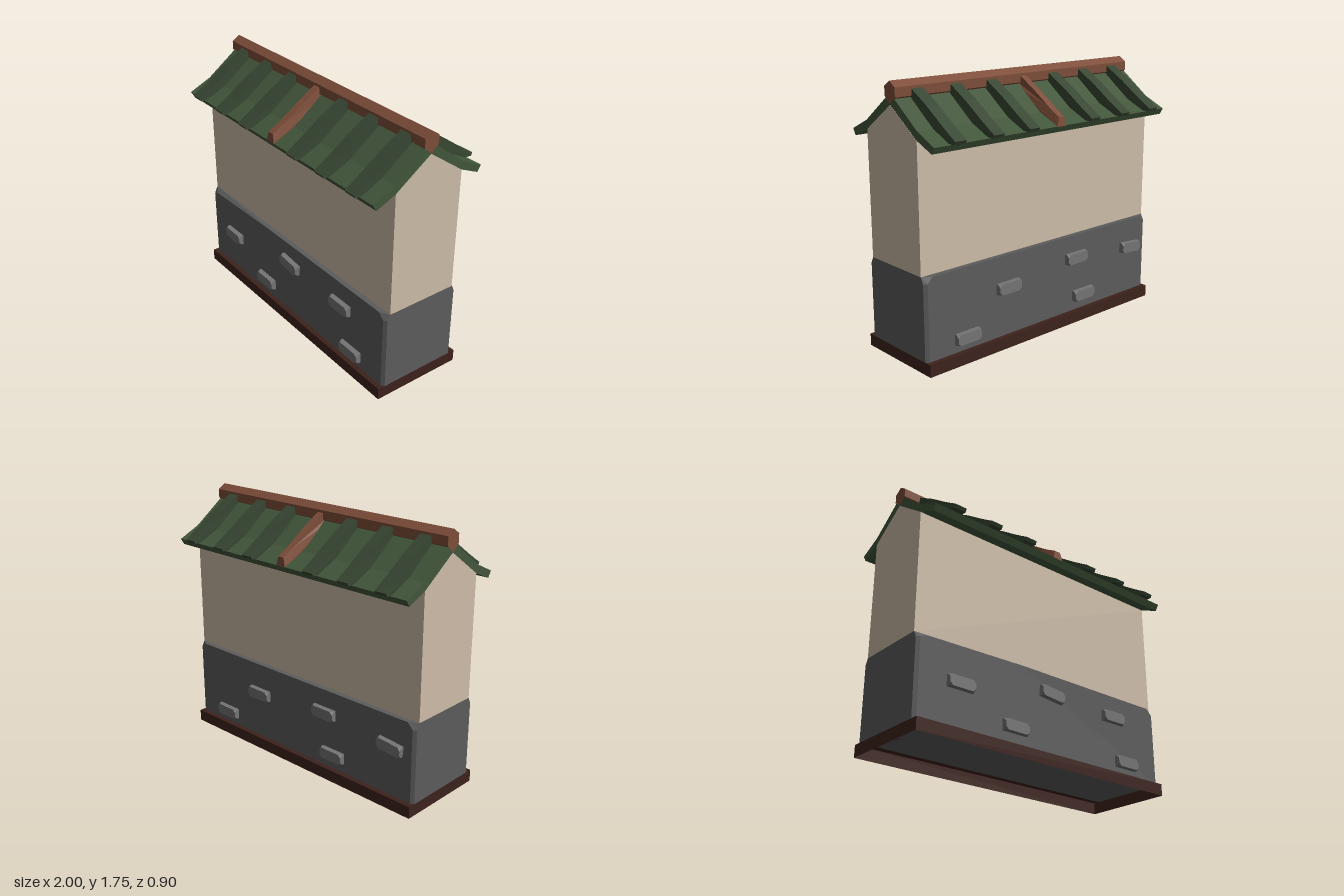
import * as THREE from 'three';
import { ConvexGeometry } from 'three/addons/geometries/ConvexGeometry.js';

const paint = (color, extra = {}) => new THREE.MeshStandardMaterial({ color, flatShading: true, ...extra });
const V = (x, y, z) => new THREE.Vector3(x, y, z);

// Extrude a [z, y] outline along x, centred on x = 0
function extrudeX(points, width) {
  const shape = new THREE.Shape(points.map(([z, y]) => new THREE.Vector2(z, y)));
  const geo = new THREE.ExtrudeGeometry(shape, { depth: width, bevelEnabled: false });
  return geo.translate(0, 0, -width / 2).rotateY(-Math.PI / 2);
}

// Symmetric outline over the ridge: upper line from ridge to eave, lower line from ridge to eave.
// Upper vertices can be narrowed to give sloping sides.
function saddle(upper, lower, width, topScale = 1) {
  const flip = (pts) => pts.slice(1).map(([z, y]) => [-z, y]);
  const outline = [
    ...upper, ...[...lower].reverse(),
    ...flip(lower), ...flip(upper).reverse(),
  ];
  const geo = extrudeX(outline, width);
  const pos = geo.attributes.position;
  for (let i = 0; i < pos.count; i++) {
    const z = Math.abs(pos.getZ(i)), y = pos.getY(i);
    if (upper.some(([uz, uy]) => Math.abs(uz - z) + Math.abs(uy - y) < 1e-4)) pos.setX(i, pos.getX(i) * topScale);
  }
  geo.computeVertexNormals();
  return geo;
}

// Raised stone with its outer corners cut off; its back lies on z = 0
function brickGeometry() {
  const w = 0.093, h = 0.036, d = 0.042, c = 0.02;
  const pts = [];
  for (const sx of [-1, 1]) for (const sy of [-1, 1]) {
    pts.push(V(sx * w, sy * h, 0), V(sx * w, sy * h, d * 0.5),
      V(sx * (w - c), sy * h, d), V(sx * w, sy * (h - c), d));
  }
  return new ConvexGeometry(pts);
}

export function createModel() {
  const model = new THREE.Group();
  const add = (name, geo, mat, parent = model) => {
    const mesh = new THREE.Mesh(geo, mat);
    mesh.name = name;
    parent.add(mesh);
    return mesh;
  };

  const plinthMat = paint(0x3d221c, { side: THREE.DoubleSide });
  const stoneMat = paint(0x5c5c5c);
  const brickMat = paint(0x747474);
  const plasterMat = paint(0xcdbca8);
  const tileMat = paint(0x42563b);
  const ribMat = paint(0x374632);
  const woodMat = paint(0x7d4d39);

  // Plinth, hollow from below (the -y face is left out)
  const plinth = new THREE.BoxGeometry(2, 0.08, 0.64).translate(0, 0.04, 0);
  const index = Array.from(plinth.index.array);
  index.splice(18, 6);
  plinth.setIndex(index);
  plinth.clearGroups();
  add('plinth', plinth, plinthMat);

  // Stone lower wall with cut corners and a chipped front top edge
  const stone = [];
  for (const sx of [-1, 1]) for (const sz of [-1, 1]) {
    stone.push(V(sx, 0.08, sz * 0.27), V(sx, 0.58, sz * 0.27), V(sx, 0.62, sz * 0.25),
      V(sx * 0.978, 0.08, sz * 0.286), V(sx * 0.978, 0.58, sz * 0.286));
    if (sx < 0 && sz > 0) {
      stone.push(V(-0.94, 0.6, 0.286), V(-0.29, 0.613, 0.286), V(-0.2, 0.62, 0.286), V(-0.28, 0.62, 0.272));
    } else {
      stone.push(V(sx * 0.94, 0.62, sz * 0.286));
    }
  }
  add('stoneWall', new ConvexGeometry(stone), stoneMat);

  // Raised stones: [x, y, tilt] on each long side
  const brickGeo = brickGeometry();
  const sides = {
    frontStones: [[-0.69, 0.36, 0], [-0.275, 0.19, 0], [0.025, 0.48, -0.1], [0.575, 0.46, 0], [0.685, 0.165, 0]],
    backStones: [[-0.69, 0.17, 0], [-0.35, 0.41, 0], [0.265, 0.465, 0], [0.34, 0.185, 0], [0.82, 0.42, -0.08]],
  };
  for (const [name, spots] of Object.entries(sides)) {
    const group = new THREE.Group();
    group.name = name;
    if (name === 'backStones') group.rotation.y = Math.PI;
    model.add(group);
    for (const [x, y, tilt] of spots) {
      const brick = add('raisedStone', brickGeo, brickMat, group);
      brick.position.set(x, y, 0.281);
      brick.rotation.z = tilt;
    }
  }

  // Plaster upper wall with gable ends
  add('plasterWall', extrudeX([[-0.25, 0.62], [0.25, 0.62], [0.25, 1.435], [0, 1.61], [-0.25, 1.435]], 2), plasterMat);

  // Flared roof slab
  const roofUpper = [[0, 1.68], [0.255, 1.49], [0.41, 1.418]];
  const roofLower = [[0, 1.61], [0.25, 1.435], [0.385, 1.377]];
  add('roofSlab', saddle(roofUpper, roofLower, 1.998), tileMat);

  // Tile ribs over the roof
  const ribUpper = [[0, 1.725], [0.05, 1.7], [0.2, 1.61], [0.33, 1.52], [0.41, 1.468], [0.452, 1.442]];
  const ribLower = [[0, 1.64], [0.25, 1.475], [0.39, 1.425], [0.44, 1.422]];
  const ribGeo = saddle(ribUpper, ribLower, 0.088, 0.94);
  for (const x of [0.27, 0.555, 0.842]) for (const s of [-1, 1]) {
    add('roofRib', ribGeo, ribMat).position.x = s * x;
  }

  // Wooden cross beam and ridge beam
  const beamUpper = [[0, 1.725], [0.06, 1.695], [0.2, 1.608], [0.32, 1.525], [0.405, 1.475]];
  const beamLower = [[0, 1.64], [0.25, 1.475], [0.41, 1.415]];
  add('crossBeam', saddle(beamUpper, beamLower, 0.078, 0.6), woodMat);
  add('ridgeBeam', extrudeX([[0, 1.61], [0.052, 1.657], [0.052, 1.715], [0, 1.75], [-0.052, 1.715], [-0.052, 1.657]], 2), woodMat);

  return model;
}
